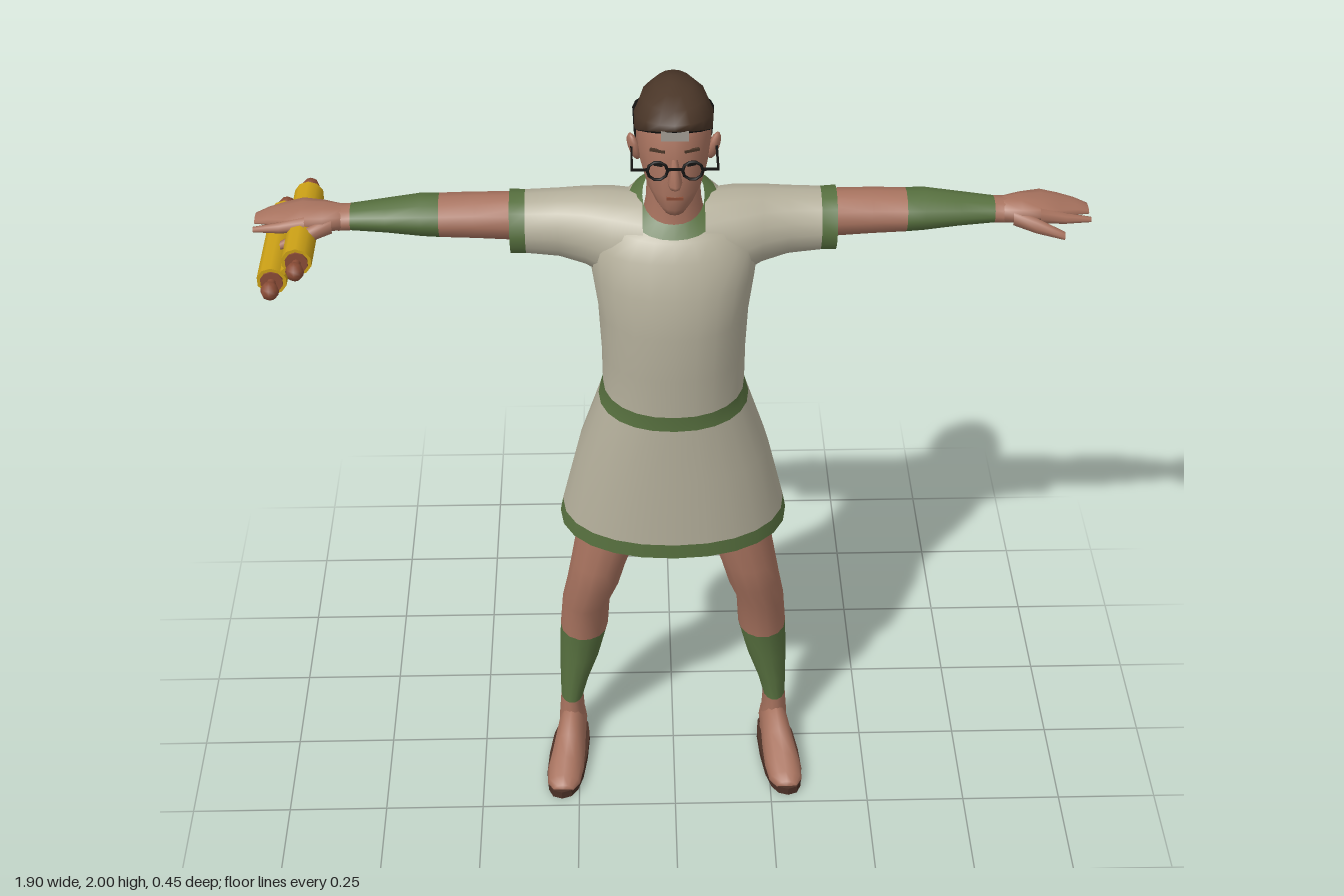
import * as THREE from 'three';

const mat = (name, color) => Object.assign(new THREE.MeshStandardMaterial({ color }), { name });
const V = (x, y, z) => new THREE.Vector3(x, y, z);

// Cross-sections: centre c with half-axes u and v
const yRing = (y, rx, zf, zb, cx = 0, tilt = 0) =>
  ({ c: V(cx, y, (zf + zb) / 2), u: V(rx, 0, 0), v: V(0, tilt, (zf - zb) / 2) });
const xRing = (x, lo, hi, zf, zb) =>
  ({ c: V(x, (lo + hi) / 2, (zf + zb) / 2), u: V(0, 0, (zf - zb) / 2), v: V(0, (hi - lo) / 2, 0) });
const zRing = (z, cx, rx, lo, hi) =>
  ({ c: V(cx, (lo + hi) / 2, z), u: V(rx, 0, 0), v: V(0, (hi - lo) / 2, 0) });

// Skins a row of cross-sections; mats is one material or one per segment
function loft(name, rings, mats, { n = 16, pow = 1, capA = false, capB = false, flip = false, flat = false, floor = -1 } = {}) {
  const pos = [], idx = [], geo = new THREE.BufferGeometry();
  const list = Array.isArray(mats) ? mats : [mats];
  const bend = t => Math.sign(t) * Math.abs(t) ** pow;
  for (const { c, u, v } of rings)
    for (let j = 0; j < n; j++) {
      const a = (j / n) * Math.PI * 2;
      const p = c.clone().addScaledVector(u, bend(Math.cos(a))).addScaledVector(v, bend(Math.sin(a)));
      pos.push(p.x, Math.max(p.y, floor), p.z);
    }
  const last = rings.length - 1;
  const axis = rings[last].c.clone().sub(rings[0].c);
  const swap = (rings[0].u.clone().cross(rings[0].v).dot(axis) < 0) !== flip;
  const tri = (a, b, c) => (swap ? idx.push(a, c, b) : idx.push(a, b, c));
  const cap = (i, end) => {
    const k = pos.length / 3, { c } = rings[i];
    pos.push(c.x, Math.max(c.y, floor), c.z);
    for (let j = 0; j < n; j++) {
      const a = i * n + j, b = i * n + (j + 1) % n;
      end ? tri(a, b, k) : tri(b, a, k);
    }
  };
  for (let i = 0; i < last; i++) {
    const start = idx.length;
    if (i === 0 && capA) cap(0, false);
    for (let j = 0; j < n; j++) {
      const a = i * n + j, b = i * n + (j + 1) % n;
      tri(a, b, a + n);
      tri(b, b + n, a + n);
    }
    if (i === last - 1 && capB) cap(last, true);
    geo.addGroup(start, idx.length - start, Math.min(i, list.length - 1));
  }
  geo.setAttribute('position', new THREE.Float32BufferAttribute(pos, 3));
  geo.setIndex(idx);
  const out = flat ? geo.toNonIndexed() : geo;
  out.computeVertexNormals();
  const mesh = new THREE.Mesh(out, list.length > 1 ? list : list[0]);
  mesh.name = name;
  return mesh;
}

export function createModel() {
  const skin = mat('skin', 0xa8735f), cloth = mat('cream cloth', 0xb4af9b), green = mat('green trim', 0x57703f);
  const hair = mat('brown hair', 0x4a3628), black = mat('black', 0x141312), sole = mat('sole brown', 0x4b3026);
  const gold = mat('gold', 0xcba016), wood = mat('red wood', 0x8a4c36), grey = mat('grey', 0xa39d94);

  const model = new THREE.Group();
  const add = (parent, name, geo, m, x, y, z) => {
    const o = new THREE.Mesh(geo, m);
    o.name = name;
    o.position.set(x, y, z);
    parent.add(o);
    return o;
  };

  // Tunic with hem, belt and collar bands
  const tunic = [
    yRing(0.77, 0.28, 0.175, -0.22), yRing(0.81, 0.273, 0.174, -0.212), yRing(1.0, 0.23, 0.172, -0.168),
    yRing(1.165, 0.178, 0.172, -0.122, 0, -0.012), yRing(1.205, 0.167, 0.172, -0.117, 0, -0.012),
    yRing(1.3, 0.168, 0.18, -0.125), yRing(1.42, 0.174, 0.186, -0.132), yRing(1.52, 0.188, 0.178, -0.13),
    yRing(1.6, 0.19, 0.15, -0.12), yRing(1.655, 0.15, 0.125, -0.095, 0, -0.015),
    yRing(1.683, 0.104, 0.115, -0.072, 0, -0.04), yRing(1.705, 0.07, 0.092, -0.055, 0, -0.035),
  ];
  model.add(loft('tunic', tunic,
    [green, cloth, cloth, green, cloth, cloth, cloth, cloth, cloth, cloth, green], { n: 24, pow: 0.92 }));
  model.add(loft('skirtLining', [yRing(0.77, 0.279, 0.174, -0.219), yRing(1.0, 0.222, 0.164, -0.16)], black,
    { n: 24, pow: 0.92, flip: true, capB: true }));

  for (const s of [1, -1]) {
    const side = s > 0 ? 'left' : 'right';
    const arm = (name, rows, m, opt) =>
      model.add(loft(side + name, rows.map(([x, ...r]) => xRing(x * s, ...r)), m, opt));

    // Sleeve, its dark opening, arm and wrist band
    arm('Sleeve', [[0.07, 1.47, 1.70, 0.12, -0.1], [0.14, 1.485, 1.703, 0.1, -0.105], [0.2, 1.517, 1.697, 0.075, -0.103],
      [0.26, 1.533, 1.69, 0.058, -0.1], [0.335, 1.54, 1.685, 0.052, -0.1], [0.37, 1.54, 1.687, 0.053, -0.102]],
      [cloth, cloth, cloth, cloth, green]);
    arm('SleeveOpening', [[0.3, 1.545, 1.68, 0.046, -0.095], [0.364, 1.544, 1.683, 0.049, -0.098]], black, { capB: true, flat: true });
    arm('Arm', [[0.3, 1.57, 1.68, 0.035, -0.085], [0.45, 1.578, 1.68, 0.03, -0.085], [0.53, 1.582, 1.677, 0.03, -0.086],
      [0.57, 1.586, 1.677, 0.032, -0.088], [0.65, 1.596, 1.668, 0.024, -0.075], [0.73, 1.603, 1.66, 0.016, -0.06],
      [0.76, 1.603, 1.66, 0.018, -0.058]], [skin, skin, green, green, green, skin], { n: 12 });

    // Hand: palm with fingers, forefinger and thumb
    arm('Hand', [[0.75, 1.604, 1.66, 0.018, -0.058], [0.79, 1.608, 1.665, 0.032, -0.07], [0.84, 1.618, 1.66, 0.03, -0.086],
      [0.88, 1.618, 1.648, 0.015, -0.084], [0.92, 1.612, 1.636, -0.008, -0.077], [0.95, 1.612, 1.626, -0.018, -0.062]],
      skin, { n: 10, capB: true });
    arm('Forefinger', [[0.83, 1.618, 1.655, 0.036, 0], [0.89, 1.612, 1.638, 0.025, 0], [0.95, 1.612, 1.624, 0.014, 0]],
      skin, { n: 8, capB: true });
    arm('Thumb', [[0.77, 1.61, 1.65, 0.03, -0.01], [0.82, 1.602, 1.64, 0.052, 0.018], [0.885, 1.592, 1.612, 0.06, 0.04]],
      skin, { n: 8, capB: true });

    // Leg with shin band
    const leg = [[1.0, 0.09, 0.12, -0.075, 0.1], [0.77, 0.08, 0.115, -0.07, 0.156], [0.66, 0.07, 0.108, -0.058, 0.185],
      [0.59, 0.067, 0.1, -0.062, 0.2], [0.5, 0.06, 0.068, -0.088, 0.222], [0.39, 0.061, 0.045, -0.096, 0.23],
      [0.3, 0.052, 0.036, -0.093, 0.243], [0.22, 0.038, 0.032, -0.075, 0.258], [0.155, 0.029, 0.03, -0.06, 0.267],
      [0.08, 0.034, 0.035, -0.06, 0.268], [0.02, 0.036, 0.04, -0.06, 0.268]];
    model.add(loft(side + 'Leg', leg.map(([y, rx, f, b, cx]) => yRing(y, rx, f, b, cx * s)),
      [skin, skin, skin, skin, skin, green, green, green, skin], { n: 14 }));

    // Foot and sandal sole
    const foot = [[-0.058, 0.262, 0.022, 0, 0.07], [-0.03, 0.265, 0.035, -0.02, 0.12], [0.025, 0.27, 0.037, -0.03, 0.13],
      [0.08, 0.278, 0.043, -0.03, 0.092], [0.14, 0.286, 0.047, -0.02, 0.066], [0.19, 0.29, 0.042, -0.01, 0.05],
      [0.215, 0.292, 0.026, 0, 0.038]];
    model.add(loft(side + 'Foot', foot.map(([z, cx, ...r]) => zRing(z, cx * s, ...r)), skin,
      { n: 12, capA: true, capB: true, floor: 0.018 }));
    const sandal = y => ({ c: V(0.279 * s, y, 0.08), u: V(0.05, 0, 0), v: V(0.016 * s, 0, 0.146) });
    model.add(loft(side + 'Sole', [sandal(0), sandal(0.022)], sole, { n: 16, pow: 0.75, capA: true, capB: true, flat: true }));
  }

  // Head
  const head = new THREE.Group();
  head.name = 'head';
  model.add(head);
  head.add(loft('neck', [yRing(1.63, 0.075, 0.09, -0.06), yRing(1.7, 0.062, 0.076, -0.05), yRing(1.81, 0.056, 0.08, -0.05)], skin));
  head.add(loft('face', [
    yRing(1.728, 0.026, 0.146, 0.07), yRing(1.75, 0.042, 0.163, 0.03), yRing(1.785, 0.063, 0.166, -0.02),
    yRing(1.83, 0.077, 0.165, -0.05), yRing(1.87, 0.083, 0.16, -0.064), yRing(1.92, 0.082, 0.157, -0.066),
    yRing(1.96, 0.068, 0.135, -0.055)], skin, { capA: true, capB: true }));
  head.add(loft('nose', [yRing(1.875, 0.007, 0.167, 0.14), yRing(1.823, 0.016, 0.192, 0.14), yRing(1.808, 0.013, 0.178, 0.14)],
    skin, { n: 8, capA: true, capB: true }));
  add(head, 'mouth', new THREE.BoxGeometry(0.036, 0.006, 0.008), wood, 0, 1.782, 0.163);
  add(head, 'foreheadPatch', new THREE.BoxGeometry(0.06, 0.024, 0.008), grey, 0, 1.932, 0.153);

  // Hair: dark sides, brown cap and ponytail
  head.add(loft('hairSides', [yRing(1.82, 0.08, 0.062, -0.068), yRing(1.85, 0.087, 0.07, -0.076), yRing(1.915, 0.09, 0.068, -0.078)],
    black, { capA: true, capB: true }));
  head.add(loft('hairCap', [
    yRing(1.875, 0.074, 0.145, -0.062, 0, 0.055), yRing(1.888, 0.086, 0.163, -0.08, 0, 0.058),
    yRing(1.93, 0.087, 0.162, -0.083, 0, 0.03), yRing(1.97, 0.07, 0.135, -0.064, 0, 0.01),
    yRing(1.992, 0.042, 0.09, -0.03), yRing(2.0, 0.012, 0.045, 0.01)], [black, hair], { capB: true }));
  head.add(loft('ponytail', [yRing(1.835, 0.016, -0.045, -0.08), yRing(1.81, 0.012, -0.06, -0.08),
    yRing(1.775, 0.022, -0.065, -0.105), yRing(1.75, 0.014, -0.092, -0.116)], hair, { n: 8, capA: true, capB: true }));

  // Ears, eyes, brows and round spectacles
  for (const s of [1, -1]) {
    const ear = add(head, 'ear', new THREE.SphereGeometry(1, 10, 8), skin, s * 0.088, 1.857, 0.065);
    ear.scale.set(0.012, 0.034, 0.02);
    ear.rotation.set(0, s * -0.4, s * -0.25);
    add(head, 'eye', new THREE.BoxGeometry(0.02, 0.007, 0.006), black, s * 0.036, 1.86, 0.15).rotation.y = s * 0.35;
    add(head, 'brow', new THREE.BoxGeometry(0.034, 0.006, 0.006), hair, s * 0.037, 1.892, 0.147).rotation.y = s * 0.35;
    add(head, 'lensRim', new THREE.TorusGeometry(0.022, 0.0035, 6, 10), black, s * 0.038, 1.86, 0.178);
    add(head, 'hinge', new THREE.BoxGeometry(0.034, 0.005, 0.005), black, s * 0.077, 1.862, 0.176);
    add(head, 'temple', new THREE.BoxGeometry(0.005, 0.005, 0.115), black, s * 0.093, 1.862, 0.12);
  }
  add(head, 'bridge', new THREE.BoxGeometry(0.034, 0.005, 0.005), black, 0, 1.863, 0.178);

  // Scroll of two rolls under the right hand
  const scroll = new THREE.Group();
  scroll.name = 'scroll';
  model.add(scroll);
  const bar = (name, r, len, m, x, y, z) =>
    add(scroll, name, new THREE.CylinderGeometry(r, r, len, 10), m, x, y, z).rotation.x = Math.PI / 2;
  for (const [x, y] of [[-0.84, 1.608], [-0.9, 1.558]]) {
    bar('roll', 0.034, 0.29, gold, x, y, -0.015);
    bar('rod', 0.01, 0.37, wood, x, y, -0.012);
    for (const z of [0.168, -0.192]) {
      add(scroll, 'knob', new THREE.SphereGeometry(0.021, 8, 6), wood, x, y, z).scale.z = 1.1;
      bar('rollEnd', 0.026, 0.006, wood, x, y, z > 0 ? 0.131 : -0.161);
    }
  }
  const sheet = add(scroll, 'sheet', new THREE.BoxGeometry(0.08, 0.012, 0.288), gold, -0.87, 1.583, -0.015);
  sheet.rotation.z = Math.atan2(0.05, 0.06);

  return model;
}
